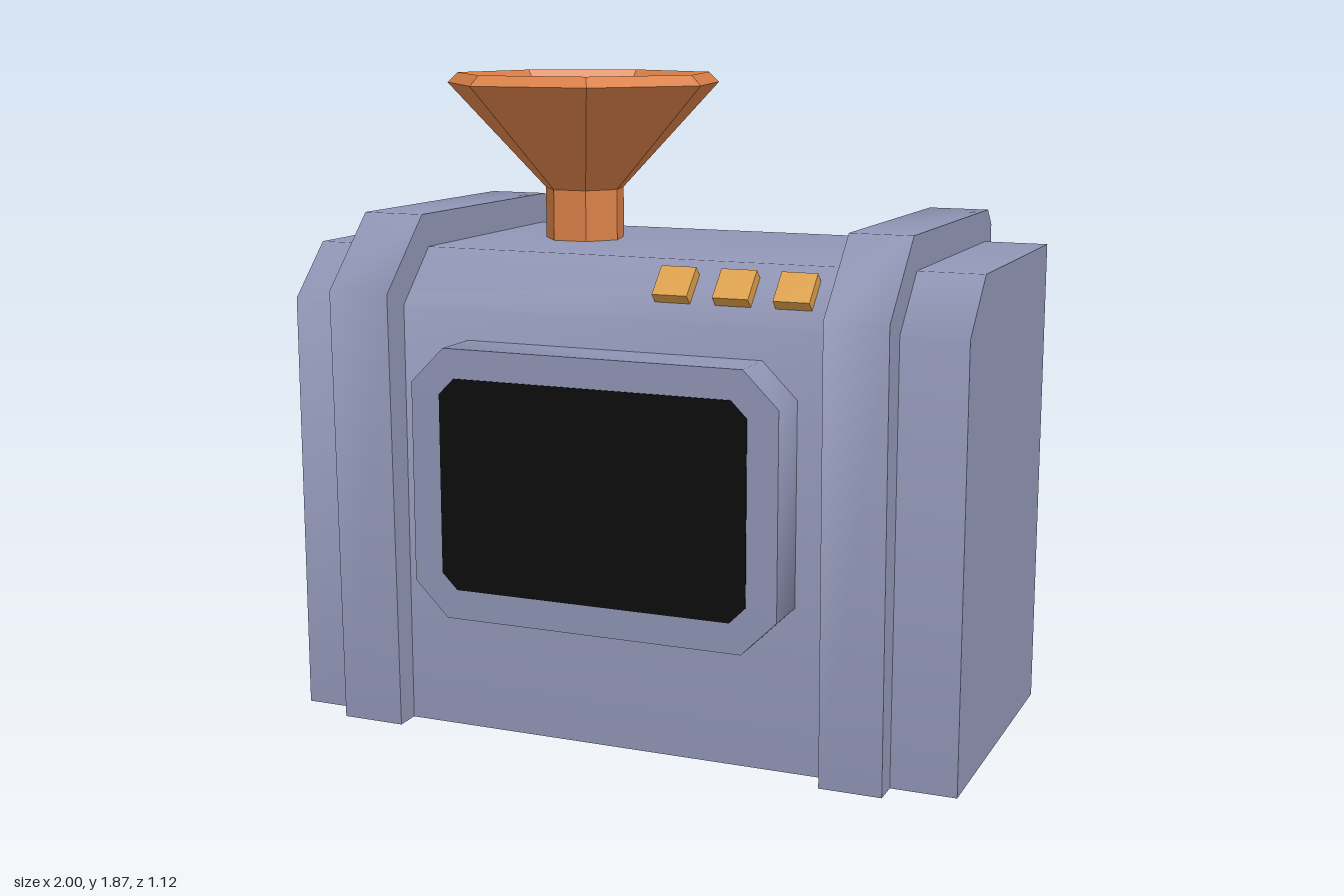
import * as THREE from 'three';
import { toCreasedNormals } from 'three/addons/utils/BufferGeometryUtils.js';

function material(name, color, flat = false) {
  const m = new THREE.MeshStandardMaterial({ color, flatShading: flat });
  m.name = name;
  return m;
}

// Extrudes an outline, softening 45 degree corners and keeping square ones sharp
function extrude(points, depth) {
  const shape = new THREE.Shape(points.map(([x, y]) => new THREE.Vector2(x, y)));
  const geo = new THREE.ExtrudeGeometry(shape, { depth, bevelEnabled: false });
  return toCreasedNormals(geo, 0.9);
}

// Side profile given as [z, y], swept from x0 to x1
function sweepAcross(profile, x0, x1) {
  const geo = extrude(profile.map(([z, y]) => [-z, y]), x1 - x0);
  return geo.rotateY(Math.PI / 2).translate(x0, 0, 0);
}

// Rectangle outline with cut corners
function cutRect(halfW, y0, y1, c) {
  return [
    [-halfW + c, y0], [halfW - c, y0], [halfW, y0 + c], [halfW, y1 - c],
    [halfW - c, y1], [-halfW + c, y1], [-halfW, y1 - c], [-halfW, y0 + c],
  ];
}

export function createModel() {
  const group = new THREE.Group();
  const casing = material('casingBlueGrey', 0x8f94b4);
  const copper = material('funnelCopper', 0xda8047, true);
  const amber = material('buttonAmber', 0xdc9f48);
  const black = material('screenBlack', 0x0c0c0c);

  const add = (name, geo, mat) => {
    const mesh = new THREE.Mesh(geo, mat);
    mesh.name = name;
    group.add(mesh);
    return mesh;
  };

  // Casing with a sloped front top edge
  const bodyProfile = [[0.41, 0], [-0.485, 0], [-0.485, 1.38], [0.26, 1.38], [0.41, 1.23]];
  add('body', sweepAcross(bodyProfile, -1, 1), casing);

  // Raised bands around the casing
  const bandProfile = [
    [0.485, 0], [-0.557, 0], [-0.557, 1.425], [-0.51, 1.472], [0.295, 1.476], [0.503, 1.27],
  ];
  add('rightBand', sweepAcross(bandProfile, -0.83, -0.643), casing);
  add('leftBand', sweepAcross(bandProfile, 0.638, 0.815), casing);

  // Screen housing and dark panel
  add('screenFrame', extrude(cutRect(0.54, 0.37, 1.14, 0.1), 0.157).translate(0, 0, 0.4), casing);
  add('screen', extrude(cutRect(0.453, 0.455, 1.057, 0.046), 0.005).translate(0, 0, 0.555), black);

  // Three buttons on the slope
  for (const x of [0.165, 0.34, 0.512]) {
    const button = add('button', new THREE.BoxGeometry(0.102, 0.1, 0.036), amber);
    button.position.set(x, 1.32, 0.3425);
    button.rotation.x = -Math.PI / 4;
  }

  // Seven-sided hollow funnel
  const funnelProfile = [
    [0.12, 1.37], [0.12, 1.53], [0.42, 1.84], [0.388, 1.87], [0.076, 1.53], [0.076, 1.37],
  ].map(([r, y]) => new THREE.Vector2(r, y));
  const funnel = add('funnel', new THREE.LatheGeometry(funnelProfile, 7, Math.PI), copper);
  funnel.position.set(-0.325, 0, -0.133);

  return group;
}
